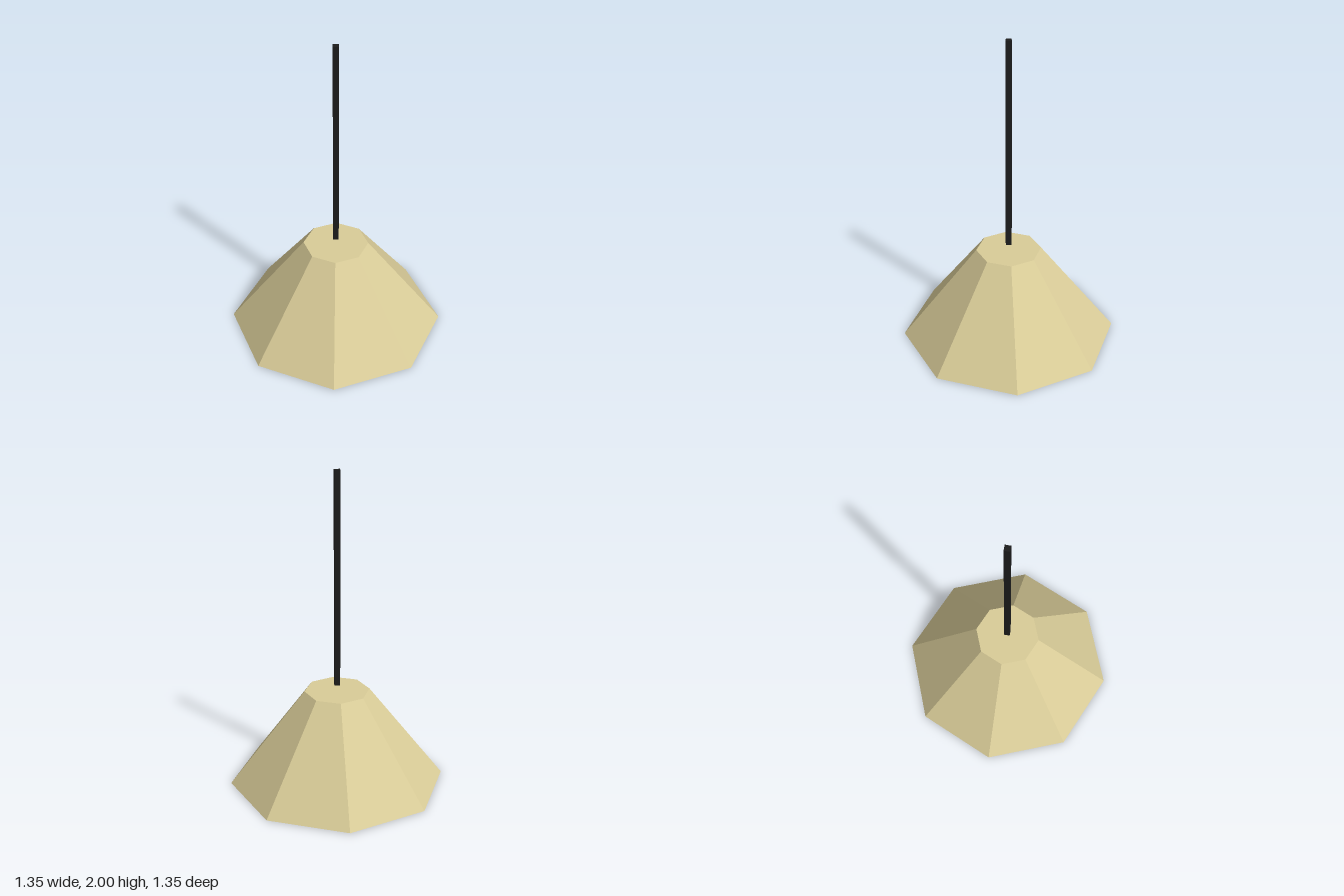
import * as THREE from 'three';

export function createModel() {
  const group = new THREE.Group();
  const cream = new THREE.MeshStandardMaterial({ color: 0xd9cc98, flatShading: true });
  cream.name = 'cream';
  const black = new THREE.MeshStandardMaterial({ color: 0x1c1c1c, flatShading: true });
  black.name = 'black';

  // Tapered prism standing between two heights
  const addPrism = (name, material, topRadius, bottomRadius, y0, y1, sides) => {
    const mesh = new THREE.Mesh(
      new THREE.CylinderGeometry(topRadius, bottomRadius, y1 - y0, sides), material);
    mesh.name = name;
    mesh.position.y = (y0 + y1) / 2;
    group.add(mesh);
  };

  // Closed eight-sided lampshade
  addPrism('shade', cream, 0.203, 0.675, 0, 0.612, 8);
  // Square cord hanging just above the shade
  addPrism('cord', black, 0.025, 0.025, 0.65, 2, 4);

  return group;
}
